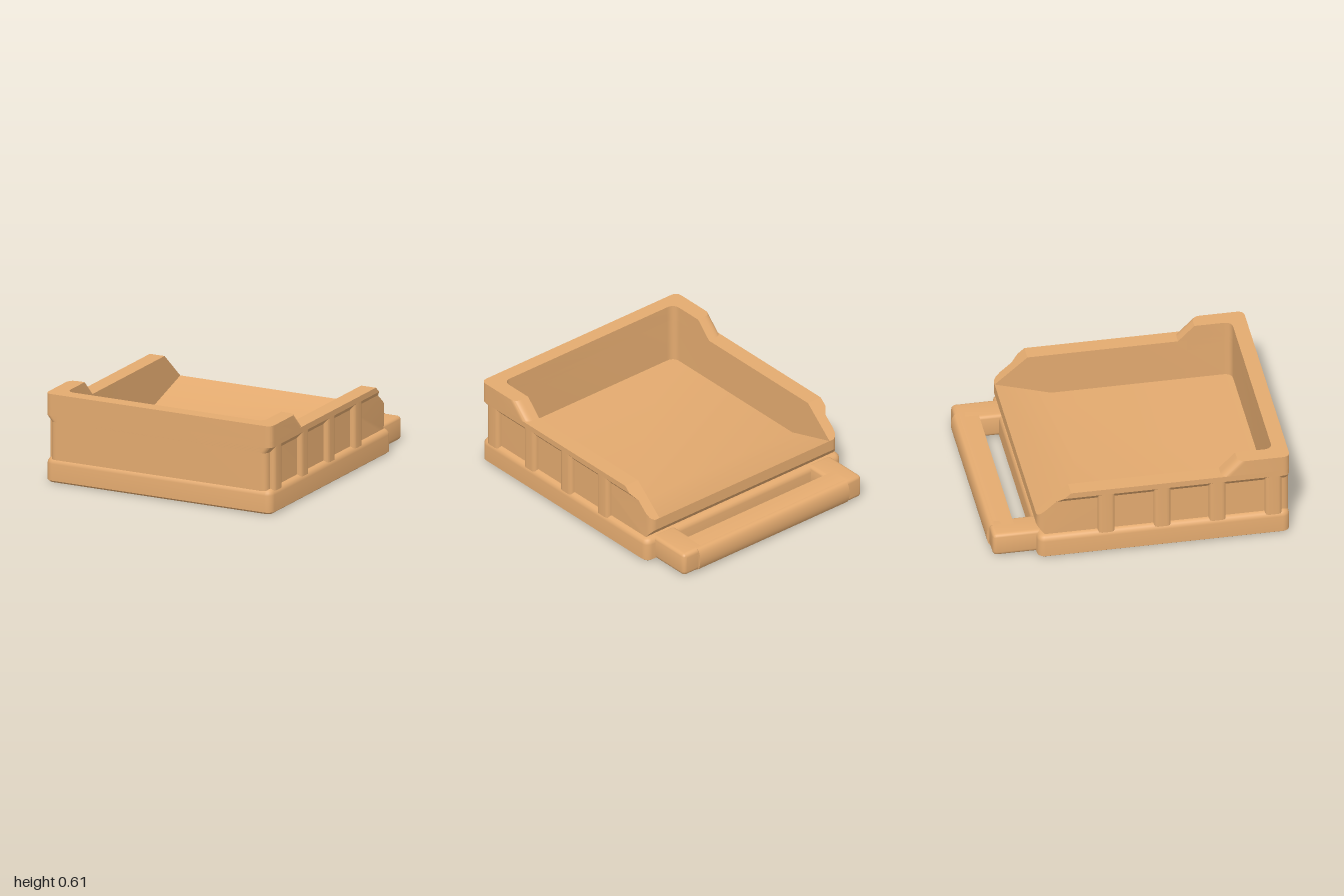
import * as THREE from 'three';
import { toCreasedNormals } from 'three/addons/utils/BufferGeometryUtils.js';
import { RoundedBoxGeometry } from 'three/addons/geometries/RoundedBoxGeometry.js';

const HALF = 0.845, WALL_IN = 0.735, WALL_OUT = 0.81;
const FRONT = 1, BACK = -0.69, MID_Z = 0.155;

// Side profile in (z, y), extruded from x0 to x1
function sideExtrude(points, x0, x1, steps = 1) {
  const shape = new THREE.Shape(points.map(p => new THREE.Vector2(p[0], p[1])));
  return new THREE.ExtrudeGeometry(shape, { depth: x1 - x0, bevelEnabled: false, steps })
    .rotateY(-Math.PI / 2).translate(x1, 0, 0);
}

// Plan shape in (x, z), extruded from y0 to y1
function planExtrude(shape, y0, y1) {
  return new THREE.ExtrudeGeometry(shape, { depth: y1 - y0, bevelEnabled: false, curveSegments: 10 })
    .rotateX(Math.PI / 2).translate(0, y1, 0);
}

// U-shaped wall plan: two arms running back to zBack, closed at the front
function wallPlan(out, zBack, endR = 0) {
  const s = new THREE.Shape(), r = 0.05, ri = 0.06, zi = 0.9;
  s.moveTo(-WALL_IN, zBack);
  s.lineTo(-out + endR, zBack);
  if (endR) s.quadraticCurveTo(-out, zBack, -out, zBack + endR);
  s.lineTo(-out, FRONT - r);
  s.quadraticCurveTo(-out, FRONT, -out + r, FRONT);
  s.lineTo(out - r, FRONT);
  s.quadraticCurveTo(out, FRONT, out, FRONT - r);
  s.lineTo(out, zBack + endR);
  if (endR) s.quadraticCurveTo(out, zBack, out - endR, zBack);
  s.lineTo(WALL_IN, zBack);
  s.lineTo(WALL_IN, zi - ri);
  s.quadraticCurveTo(WALL_IN, zi, WALL_IN - ri, zi);
  s.lineTo(-WALL_IN + ri, zi);
  s.quadraticCurveTo(-WALL_IN, zi, -WALL_IN, zi - ri);
  s.closePath();
  return s;
}

// Moves every vertex with a rule
function bend(geo, rule) {
  const p = geo.attributes.position, v = new THREE.Vector3();
  for (let i = 0; i < p.count; i++) {
    v.fromBufferAttribute(p, i);
    rule(v);
    p.setXYZ(i, v.x, v.y, v.z);
  }
  return geo;
}

// Rounded-square rings [half size, corner radius, y] joined into one skin
function ringLoft(rings) {
  const pos = [], idx = [], steps = 6, n = 4 * (steps + 1);
  for (const [h, r, y] of rings) {
    for (let c = 0; c < 4; c++) {
      const sx = c === 0 || c === 3 ? 1 : -1, sz = c < 2 ? 1 : -1;
      for (let k = 0; k <= steps; k++) {
        const a = (c + k / steps) * Math.PI / 2;
        pos.push(sx * (h - r) + r * Math.cos(a), y, MID_Z + sz * (h - r) + r * Math.sin(a));
      }
    }
  }
  for (let i = 0; i < rings.length - 1; i++) {
    for (let j = 0; j < n; j++) {
      const a = i * n + j, b = i * n + (j + 1) % n;
      idx.push(a, a + n, b, b, a + n, b + n);
    }
  }
  const g = new THREE.BufferGeometry();
  g.setAttribute('position', new THREE.Float32BufferAttribute(pos, 3));
  g.setIndex(idx);
  return g;
}

export function createModel() {
  const group = new THREE.Group();
  group.name = 'dumpBed';
  const tan = new THREE.MeshStandardMaterial({ color: 0xe3aa6f });
  tan.name = 'tan';

  const add = (name, geo) => {
    const mesh = new THREE.Mesh(toCreasedNormals(geo, 0.6), tan);
    mesh.name = name;
    group.add(mesh);
  };

  // Hollow base with rounded top edge
  add('base', ringLoft([
    [0, 0, 0.12], [0.785, 0.005, 0.12], [0.785, 0.005, 0], [0.825, 0.03, 0],
    [HALF, 0.05, 0.015], [HALF, 0.05, 0.13], [0.842, 0.047, 0.145], [0.833, 0.04, 0.158],
    [0.82, 0.03, 0.167], [0.805, 0.02, 0.17], [0, 0, 0.17],
  ]));

  // Tubes under the base
  const ring = new THREE.Shape();
  ring.absarc(0, 0, 0.19, 0, Math.PI * 2);
  ring.holes.push(new THREE.Path().absarc(0, 0, 0.12, 0, Math.PI * 2, true));
  for (const i of [-1, 0, 1]) {
    for (const k of [-1, 0, 1]) {
      add('undersideTube', planExtrude(ring, 0.002, 0.125).translate(i * 0.42, 0, MID_Z + k * 0.42));
    }
  }

  // Front wall with the front half of the sides
  add('frontWall', planExtrude(wallPlan(WALL_OUT, 0), 0.16, 0.5));

  // Flared rim around the front corners
  add('frontRimFlare', bend(planExtrude(wallPlan(HALF, 0.6), 0.42, 0.46), v => {
    if (v.y < 0.44 && Math.abs(v.x) > 0.76) v.x -= Math.sign(v.x) * 0.035;
  }));
  add('frontRim', planExtrude(wallPlan(HALF, 0.6), 0.46, 0.5));

  // Raised front with sloping arm ends
  add('raisedFront', bend(planExtrude(wallPlan(HALF, 0.65, 0.06), 0.5, 0.61), v => {
    if (v.y < 0.55 && v.z < 0.75) v.z -= 0.11;
  }));

  // Rear half of the sides, cut diagonally at the back
  const sideProfile = [[0, 0.14], [-0.64, 0.14], [-0.64, 0.17], [BACK, 0.23], [BACK, 0.31], [-0.47, 0.5], [0, 0.5]];
  const ribCentres = [0.89, 0.515, 0.145, -0.23];
  for (const s of [1, -1]) {
    const xs = [s * WALL_IN, s * WALL_OUT].sort((a, b) => a - b);
    // Rear outer corner rounded while staying on the sloping cuts
    add('sideWall', bend(sideExtrude(sideProfile, xs[0], xs[1], 9), v => {
      if (v.z > -0.66) return;
      const r = 0.05, d = Math.max(0, Math.abs(v.x) - (WALL_OUT - r));
      const shift = r - Math.sqrt(Math.max(0, r * r - d * d));
      v.z += shift;
      v.y += shift * (v.y > 0.27 ? 0.19 / 0.22 : -1.2);
    }));

    // Overhanging side rim following the diagonal cut
    const section = new THREE.Shape([[0.79, 0.42], [WALL_OUT, 0.42], [HALF, 0.46], [HALF, 0.5], [0.79, 0.5]]
      .map(p => new THREE.Vector2(s * p[0], p[1])));
    const rim = new THREE.ExtrudeGeometry(section, { depth: 0.62, bevelEnabled: false });
    add('sideRim', bend(rim, v => {
      if (v.z < 0.1) v.z = -0.47 - (0.5 - v.y) * 0.22 / 0.19;
    }));

    // Upright ribs with rounded outer edges
    for (const z of ribCentres) {
      const w = 0.0575, r = 0.035, x0 = s * 0.79, x1 = s * HALF, xr = s * (HALF - r);
      const rib = new THREE.Shape();
      rib.moveTo(x0, z - w);
      rib.lineTo(xr, z - w);
      rib.quadraticCurveTo(x1, z - w, x1, z - w + r);
      rib.lineTo(x1, z + w - r);
      rib.quadraticCurveTo(x1, z + w, xr, z + w);
      rib.lineTo(x0, z + w);
      rib.closePath();
      add('sideRib', planExtrude(rib, 0.155, 0.465));
    }

    // Handle arm
    add('handleArm', new RoundedBoxGeometry(0.195, 0.165, 0.34, 3, 0.03)
      .translate(s * 0.6725, 0.0875, -0.81));
  }

  // Tray floor with the rear ramp rising to the lip
  add('floorAndRamp', sideExtrude(
    [[0.94, 0.165], [0.94, 0.195], [-0.31, 0.195], [BACK, 0.31], [BACK, 0.23], [-0.64, 0.17], [-0.64, 0.165]],
    -WALL_IN, WALL_IN));

  // Handle crossbar with a sloped inner face
  add('handleBar', sideExtrude(
    [[-0.78, 0.005], [-0.82, 0.17], [-0.95, 0.17], [-0.971, 0.161], [-0.98, 0.14], [-0.98, 0.035], [-0.971, 0.014], [-0.95, 0.005]],
    -0.66, 0.66));

  // Rounded grip on the back of the handle
  const grip = [[-0.95, 0.17], [-0.95, 0.005]];
  for (let i = 0; i <= 12; i++) {
    const a = -Math.PI / 2 + i * Math.PI / 12;
    grip.push([-0.962 - 0.038 * Math.cos(a), 0.0875 + 0.0825 * Math.sin(a)]);
  }
  add('handleGrip', sideExtrude(grip, -0.645, 0.645));

  return group;
}
